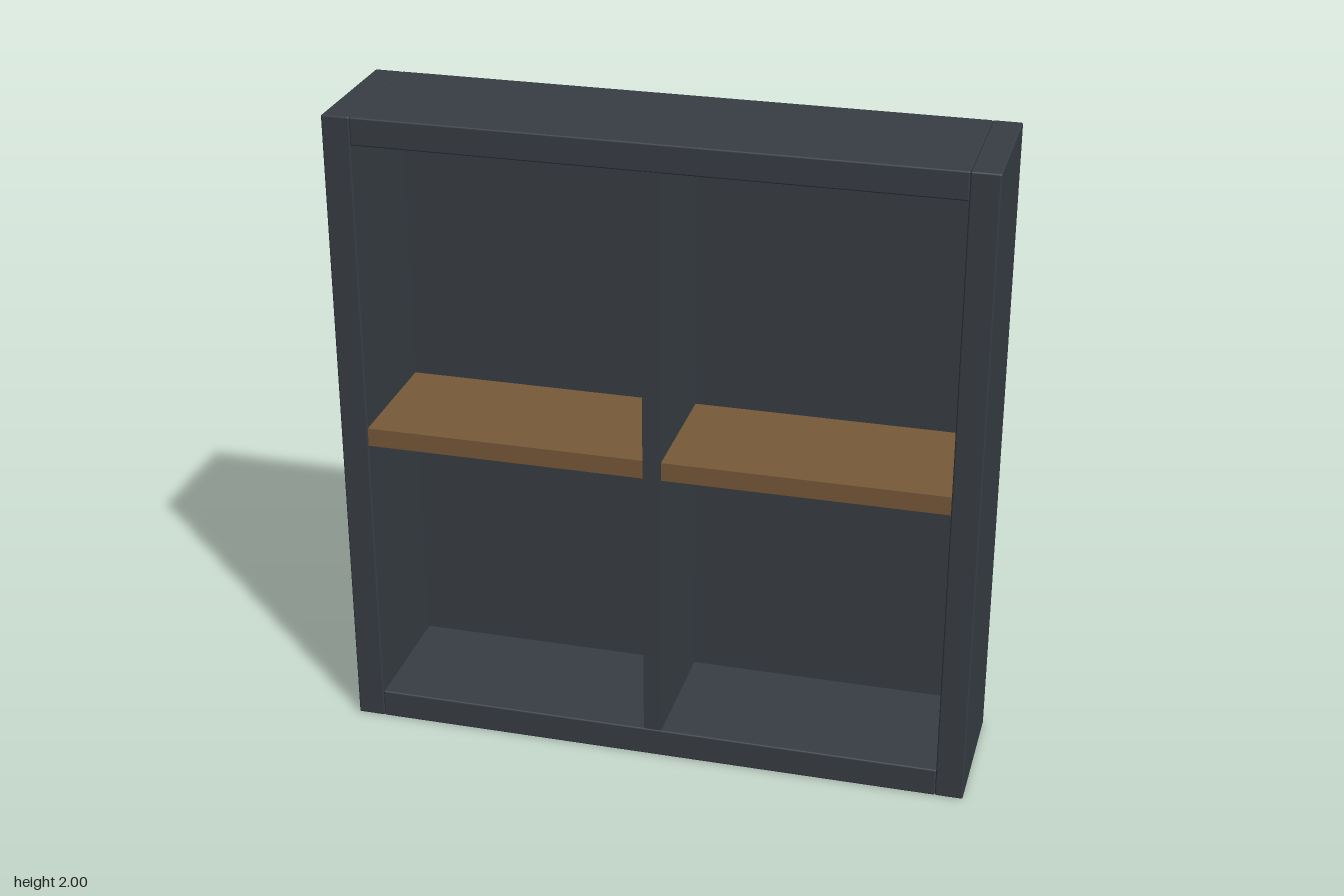
import * as THREE from 'three';
import { RoundedBoxGeometry } from 'three/addons/geometries/RoundedBoxGeometry.js';

export function createModel() {
  const model = new THREE.Group();
  model.name = 'shelfUnit';

  const material = (name, color) => {
    const m = new THREE.MeshStandardMaterial({ color });
    m.name = name;
    return m;
  };
  const frame = material('charcoal', 0x383e45);
  const wood = material('walnut', 0x775a39);
  const glow = material('amber', 0xc8904a);

  // Board given by its extents, with optional slightly eased edges
  function board(name, mat, [x0, x1], [y0, y1], [z0, z1], radius = 0) {
    const size = [x1 - x0, y1 - y0, z1 - z0];
    const geometry = radius
      ? new RoundedBoxGeometry(...size, 2, radius)
      : new THREE.BoxGeometry(...size);
    const mesh = new THREE.Mesh(geometry, mat);
    mesh.name = name;
    mesh.position.set((x0 + x1) / 2, (y0 + y1) / 2, (z0 + z1) / 2);
    model.add(mesh);
  }

  const depth = [-0.22, 0.22];
  const inner = [-0.2, 0.218];

  // Outer frame
  board('leftSide', frame, [0.885, 0.97], [0, 2], depth, 0.005);
  board('rightSide', frame, [-0.97, -0.885], [0, 2], depth, 0.005);
  board('topBoard', frame, [-0.885, 0.885], [1.915, 2], depth, 0.005);
  board('bottomBoard', frame, [-0.885, 0.885], [0, 0.09], depth, 0.005);

  // Back panel and centre divider
  board('backPanel', frame, [-0.885, 0.885], [0.09, 1.915], [-0.218, -0.2]);
  board('divider', frame, [-0.028, 0.028], [0.09, 1.915], inner);

  // A shelf and two light strips in each bay
  for (const [side, s] of [['left', 1], ['right', -1]]) {
    const span = (a, b) => (s > 0 ? [a, b] : [-b, -a]);
    board(side + 'Shelf', wood, span(0.028, 0.885), [0.96, 1.018], inner);
    for (const [level, y] of [['Upper', 1.915], ['Lower', 0.96]]) {
      board(side + level + 'LightStrip', glow, span(0.1, 0.81), [y - 0.019, y - 0.009], [-0.015, 0.015]);
    }
  }

  return model;
}
